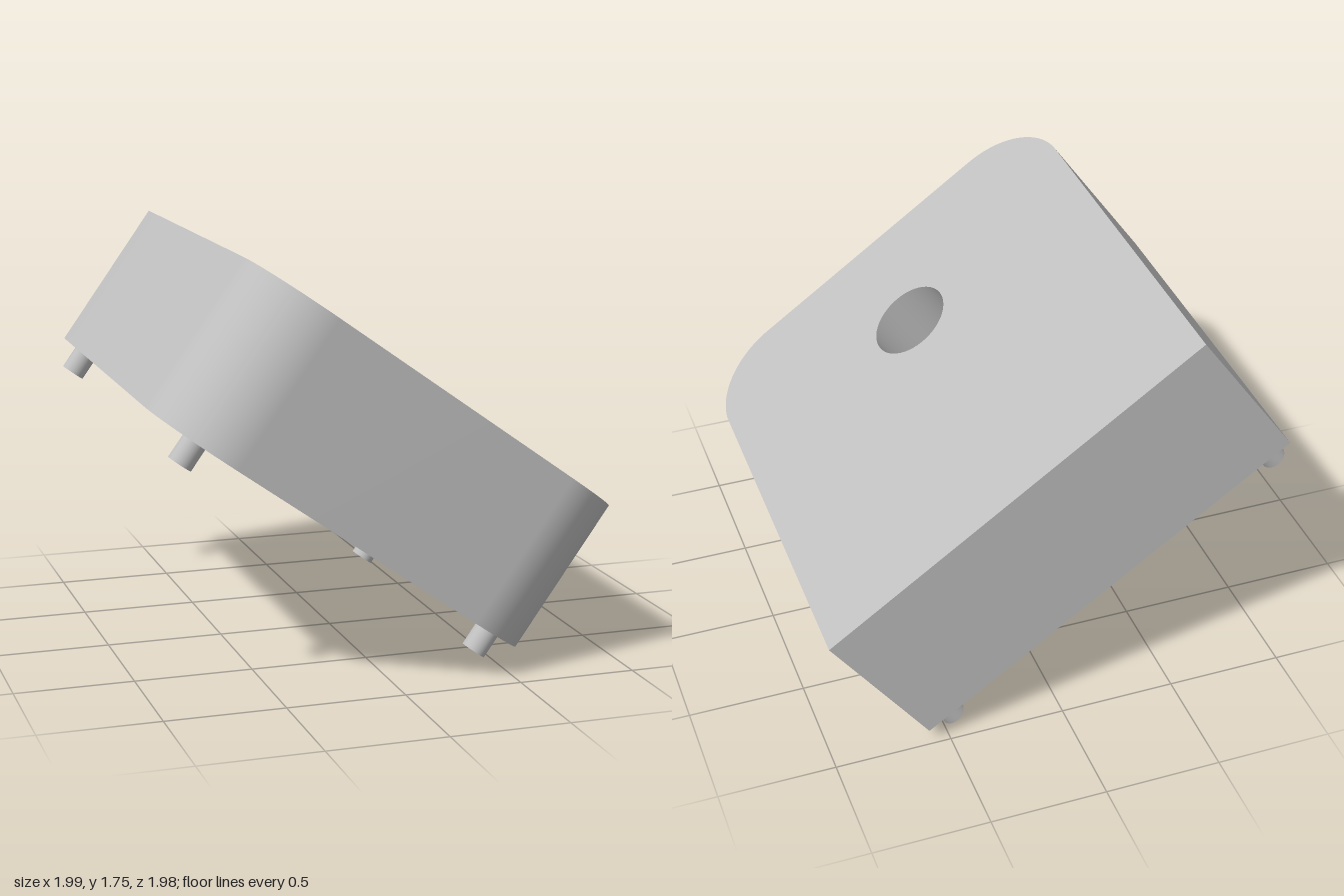
import * as THREE from 'three';
import { toCreasedNormals } from 'three/addons/utils/BufferGeometryUtils.js';

const HALF_L = 0.956, HALF_D = 0.988, THICK = 0.706, CORNER = 0.35;
const TOP = THICK / 2, BOTTOM = -TOP, CEILING = TOP - 0.315;

// Plan shapes use (x, -z). The two front corners are rounded.
function outlineShape() {
  const s = new THREE.Shape();
  const cx = HALF_L - CORNER, cy = -HALF_D + CORNER;
  s.moveTo(HALF_L, HALF_D);
  s.lineTo(-HALF_L, HALF_D);
  s.lineTo(-HALF_L, cy);
  s.absarc(-cx, cy, CORNER, Math.PI, Math.PI * 1.5, false);
  s.absarc(cx, cy, CORNER, Math.PI * 1.5, Math.PI * 2, false);
  s.closePath();
  return s;
}

function recessShape() {
  const x = 0.435, y = 0.793;
  return new THREE.Shape([[x, y], [-x, y], [-x, -y], [x, -y]].map(p => new THREE.Vector2(...p)));
}

function holeShape() {
  return new THREE.Shape().absarc(0, -0.352, 0.178, 0, Math.PI * 2, false);
}

// Flat face at height y, facing up or down
function face(shape, hole, y, down) {
  shape.holes.push(hole);
  const g = new THREE.ShapeGeometry(shape, 24);
  if (down) {
    g.index.array.reverse();
    g.computeVertexNormals();
  }
  return g.rotateX(-Math.PI / 2).translate(0, y, 0);
}

// Upright wall around a shape, facing outward or inward
function wall(shape, y0, y1, inward) {
  const pts = shape.getPoints(24);
  pts.push(pts[0]);
  if (inward) pts.reverse();
  const pos = [];
  for (let i = 0; i < pts.length - 1; i++) {
    const p = pts[i], q = pts[i + 1];
    if (p.distanceTo(q) < 1e-5) continue;
    pos.push(p.x, y0, -p.y, q.x, y0, -q.y, q.x, y1, -q.y);
    pos.push(p.x, y0, -p.y, q.x, y1, -q.y, p.x, y1, -p.y);
  }
  const g = new THREE.BufferGeometry();
  g.setAttribute('position', new THREE.Float32BufferAttribute(pos, 3));
  return toCreasedNormals(g, 0.5);
}

export function createModel() {
  const model = new THREE.Group();
  model.name = 'tiltedBlock';
  const grey = new THREE.MeshStandardMaterial({ color: 0xc0c0c0 });
  grey.name = 'grey';

  const add = (name, geometry) => {
    const mesh = new THREE.Mesh(geometry, grey);
    mesh.name = name;
    block.add(mesh);
    return mesh;
  };

  // Whole block leans down towards +x
  const block = new THREE.Group();
  block.name = 'block';
  block.position.set(0.016, 0.914, 0);
  block.rotation.z = -Math.atan2(1.11, 1.557);
  model.add(block);

  // Shell with a round through hole and a rectangular recess underneath
  add('topFace', face(outlineShape(), holeShape(), TOP, false));
  add('outerWall', wall(outlineShape(), BOTTOM, TOP, false));
  add('holeWall', wall(holeShape(), CEILING, TOP, true));
  add('recessCeiling', face(recessShape(), holeShape(), CEILING, true));
  add('recessWall', wall(recessShape(), BOTTOM, CEILING, true));
  add('bottomRim', face(outlineShape(), recessShape(), BOTTOM, true));

  // Four pegs, the front pair set further in
  const pegGeometry = new THREE.CylinderGeometry(0.053, 0.053, 0.107, 32);
  for (const side of [-1, 1]) {
    for (const [name, x, z] of [['frontPeg', 0.761, 0.8], ['backPeg', 0.861, -0.883]]) {
      add(name, pegGeometry).position.set(side * x, BOTTOM - 0.0535, z);
    }
  }
  return model;
}
